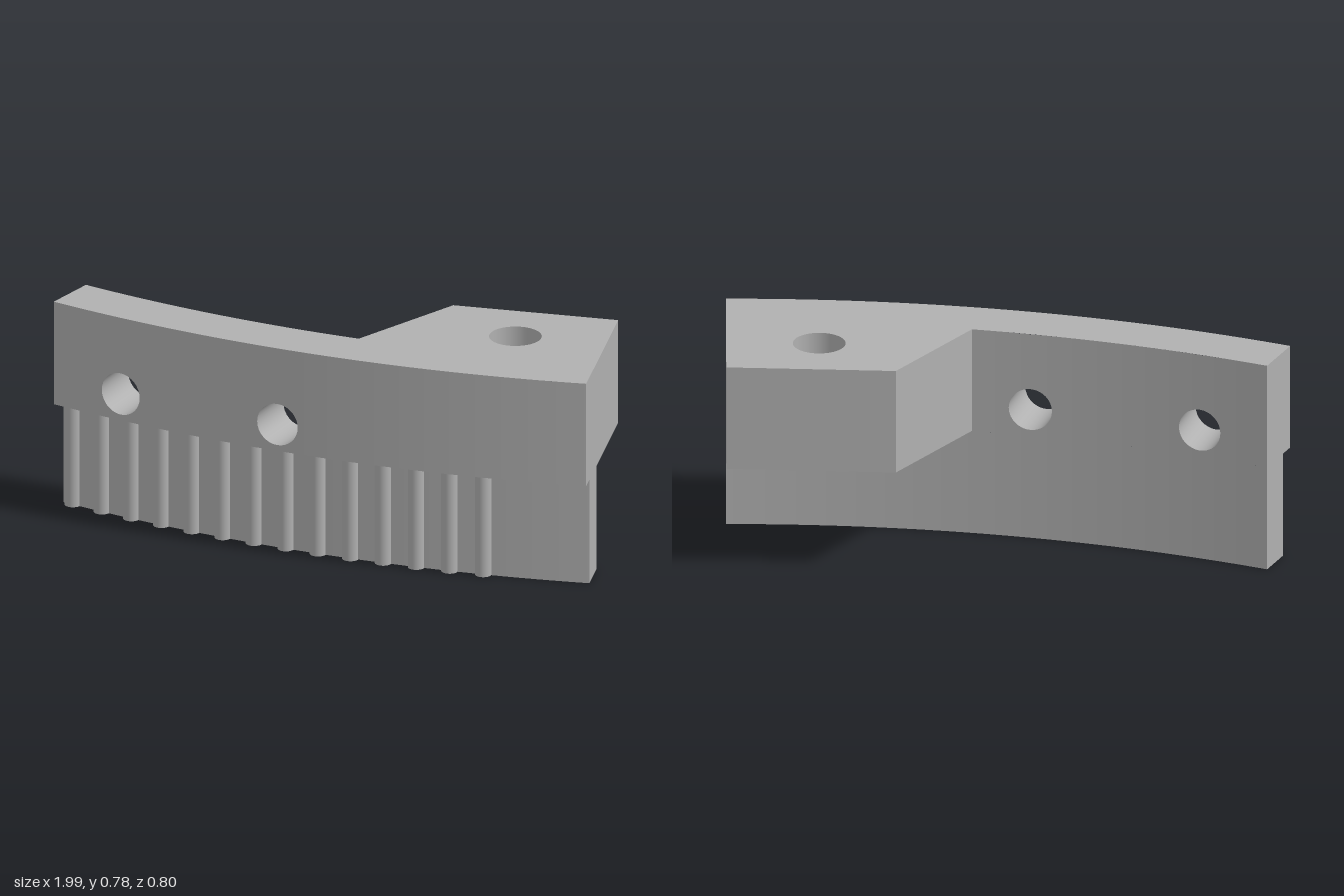
import * as THREE from 'three';
import { mergeGeometries } from 'three/addons/utils/BufferGeometryUtils.js';

const DEG = Math.PI / 180;
// Plan of the arc: centre, radii and end angles (measured from +z)
const CX = 1.41, CZ = -4.34;
const R_OUT = 4.76, R_IN = 4.563, R_WALL = 4.7;
const A0 = -30.4 * DEG, A1 = -5.76 * DEG, A_CORNER = -16.69 * DEG;
const Y_STEP = 0.39, Y_TOP = 0.778;
// The two cross holes are parallel to this direction
const AXIS = 23.25 * DEG, HOLE_U = [-0.312, 0.312], HOLE_Y = 0.49, HOLE_R = 0.078;
const BOLT = { x: 0.647, z: -0.037, r: 0.093 };

const onArc = (r, a) => new THREE.Vector2(CX + r * Math.sin(a), CZ + r * Math.cos(a));
const arc = (r, from, to, n = 40) =>
  Array.from({ length: n + 1 }, (_, i) => onArc(r, from + (to - from) * i / n));
const place = (geo) => geo.rotateY(-AXIS).translate(CX, 0, CZ);

// Turn a surface inside out
function invert(geo) {
  const ix = geo.index.array, n = geo.attributes.normal.array;
  for (let i = 0; i < ix.length; i += 3) [ix[i], ix[i + 1]] = [ix[i + 1], ix[i]];
  for (let i = 0; i < n.length; i++) n[i] = -n[i];
  return geo;
}

// Curved upright skin, optionally pierced by the cross holes
function skin(r, from, to, y0, y1, holes = []) {
  const u0 = r * Math.sin(from + AXIS), u1 = r * Math.sin(to + AXIS);
  const stops = [u0, ...holes.flatMap((u) => [u - 0.1, u + 0.1]), u1];
  const panels = [];
  for (let i = 0; i + 1 < stops.length; i++) {
    const pierced = i % 2 === 1;
    const n = pierced ? 1 : Math.max(2, Math.ceil((stops[i + 1] - stops[i]) / 0.06));
    for (let k = 0; k < n; k++) {
      const a = THREE.MathUtils.lerp(stops[i], stops[i + 1], k / n);
      const b = THREE.MathUtils.lerp(stops[i], stops[i + 1], (k + 1) / n);
      const shape = new THREE.Shape([[a, y0], [b, y0], [b, y1], [a, y1]].map((p) => new THREE.Vector2(...p)));
      if (pierced) shape.holes.push(new THREE.Path().absarc(holes[(i - 1) / 2], HOLE_Y, HOLE_R, 0, Math.PI * 2, true));
      panels.push(new THREE.ShapeGeometry(shape, 16));
    }
  }
  const geo = mergeGeometries(panels);
  const p = geo.attributes.position, nrm = geo.attributes.normal;
  for (let i = 0; i < p.count; i++) {
    const u = p.getX(i), w = Math.sqrt(r * r - u * u);
    p.setZ(i, w);
    nrm.setXYZ(i, u / r, 0, w / r);
  }
  return place(geo);
}

// Flat horizontal face from a plan outline, facing up or down
function cap(points, y, up, bolt) {
  const s = up ? -1 : 1;
  const shape = new THREE.Shape(points.map((p) => new THREE.Vector2(p.x, s * p.y)));
  if (bolt) shape.holes.push(new THREE.Path().absarc(bolt.x, s * bolt.z, bolt.r, 0, Math.PI * 2, true));
  return new THREE.ShapeGeometry(shape, 24).rotateX(s * Math.PI / 2).translate(0, y, 0);
}

// Flat upright face, p to q running left to right as seen from outside
function wall(p, q, y0, y1) {
  return new THREE.PlaneGeometry(p.distanceTo(q), y1 - y0)
    .rotateY(Math.atan2(p.y - q.y, q.x - p.x))
    .translate((p.x + q.x) / 2, (y0 + y1) / 2, (p.y + q.y) / 2);
}

// Lining of one cross hole, its ends following the curved skins
function crossBore(u) {
  const geo = new THREE.CylinderGeometry(HOLE_R, HOLE_R, 1, 32, 1, true).rotateX(Math.PI / 2);
  const p = geo.attributes.position;
  for (let i = 0; i < p.count; i++) {
    const x = p.getX(i) + u, r = p.getZ(i) > 0 ? R_OUT : R_IN;
    p.setXYZ(i, x, p.getY(i) + HOLE_Y, Math.sqrt(r * r - x * x));
  }
  return place(invert(geo));
}

export function createModel() {
  const model = new THREE.Group();
  model.name = 'curvedRackBracket';
  const grey = new THREE.MeshStandardMaterial({ color: 0xb0b0b0 });
  grey.name = 'plain grey';
  const add = (name, geo, parent = model) => {
    const mesh = new THREE.Mesh(geo, grey);
    mesh.name = name;
    parent.add(mesh);
  };

  // Upper rail with the mounting lug
  const corner = onArc(R_IN, A_CORNER);
  const lug = [onArc(R_OUT, A1), new THREE.Vector2(0.995, -0.22), new THREE.Vector2(0.405, -0.315), corner];
  const outline = [...arc(R_OUT, A0, A1), lug[1], lug[2], ...arc(R_IN, A_CORNER, A0)];
  add('railTop', cap(outline, Y_TOP, true, BOLT));
  add('railUnderside', cap(outline, Y_STEP, false, BOLT));
  add('railFront', skin(R_OUT, A0, A1, Y_STEP, Y_TOP, HOLE_U));
  add('railBack', invert(skin(R_IN, A0, A_CORNER, Y_STEP, Y_TOP, HOLE_U)));
  add('railEnd', wall(onArc(R_IN, A0), onArc(R_OUT, A0), Y_STEP, Y_TOP));
  for (let i = 0; i < 3; i++) add('lugSide', wall(lug[i], lug[i + 1], Y_STEP, Y_TOP));

  // Hole linings
  HOLE_U.forEach((u) => add('crossHole', crossBore(u)));
  add('boltHole', invert(new THREE.CylinderGeometry(BOLT.r, BOLT.r, Y_TOP - Y_STEP, 48, 1, true))
    .translate(BOLT.x, (Y_TOP + Y_STEP) / 2, BOLT.z));

  // Lower wall
  add('wallFront', skin(R_WALL, A0, A1, 0, Y_STEP));
  add('wallBack', invert(skin(R_IN, A0, A1, 0, Y_STEP)));
  add('wallBottom', cap([...arc(R_WALL, A0, A1), ...arc(R_IN, A1, A0)], 0, false));
  add('wallRightEnd', wall(onArc(R_IN, A0), onArc(R_WALL, A0), 0, Y_STEP));
  add('wallLeftEnd', wall(onArc(R_WALL, A1), onArc(R_IN, A1), 0, Y_STEP));

  // Rounded teeth along the wall
  const teeth = new THREE.Group();
  teeth.name = 'teeth';
  model.add(teeth);
  for (let i = 0; i < 14; i++) {
    const a = (-29.93 + 1.5 * i) * DEG, c = onArc(R_WALL - 0.002, a);
    add('tooth', new THREE.CylinderGeometry(0.03, 0.03, Y_STEP, 16, 1, false, -Math.PI / 2, Math.PI)
      .rotateY(a).translate(c.x, Y_STEP / 2, c.y), teeth);
  }
  return model;
}
